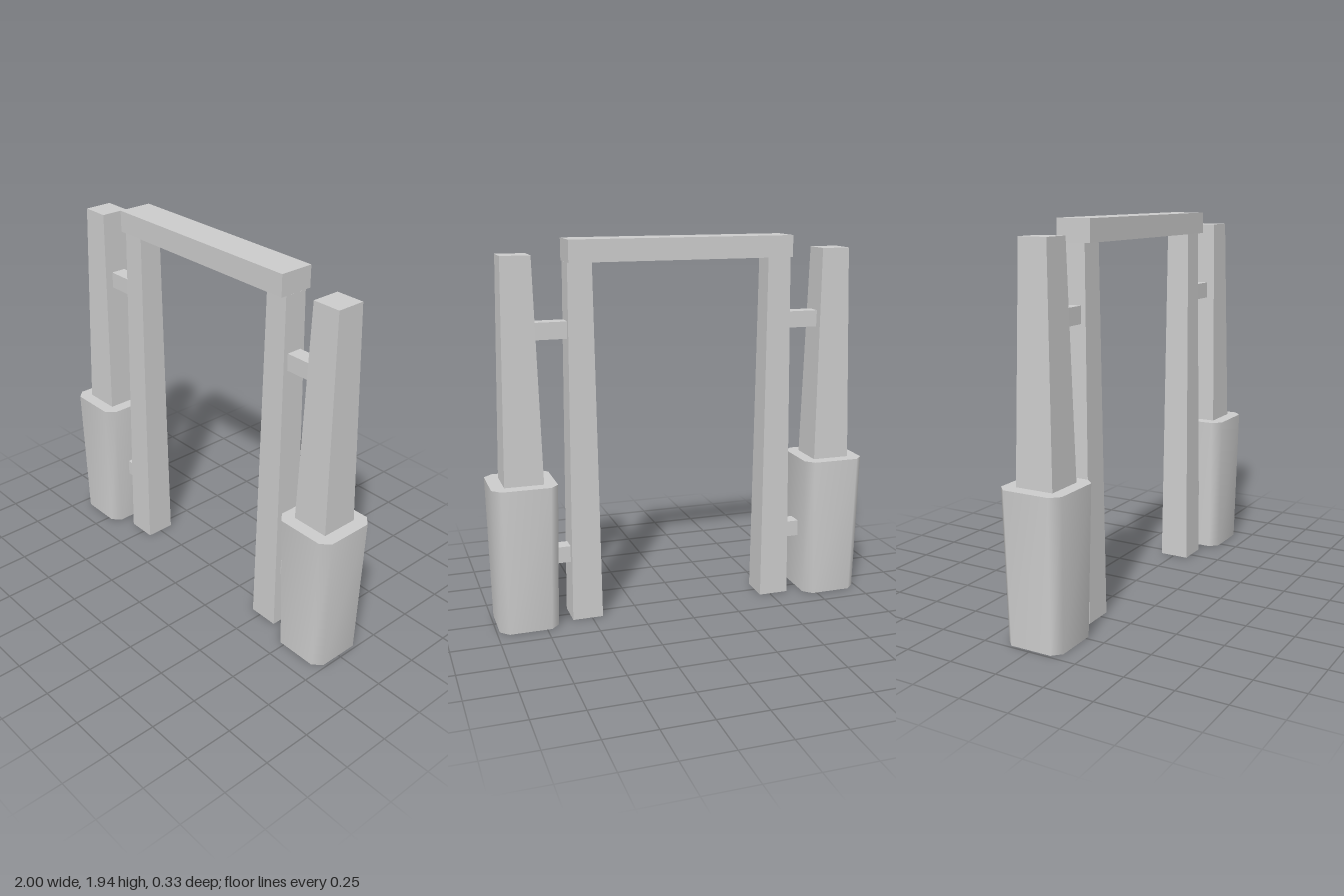
import * as THREE from 'three';

const material = new THREE.MeshStandardMaterial({ color: 0xcccccc });

function add(parent, name, geometry, x, y) {
  const mesh = new THREE.Mesh(geometry, material);
  mesh.name = name;
  mesh.position.set(x, y, 0);
  parent.add(mesh);
}

// Square post standing on y = 0, narrowing from half-width b to t
function taperedPost(b, t, height) {
  const geo = new THREE.BoxGeometry(2, height, 2).toNonIndexed();
  geo.translate(0, height / 2, 0);
  const p = geo.attributes.position;
  for (let i = 0; i < p.count; i++) {
    const s = p.getY(i) > height / 2 ? t : b;
    p.setX(i, p.getX(i) * s);
    p.setZ(i, p.getZ(i) * s);
  }
  geo.computeVertexNormals();
  return geo;
}

// Block with cut corners: smooth shaded walls, flat top and bottom
function cutCornerBlock(b, t, cut, height) {
  const ring = (h, y) => {
    const c = h - cut;
    return [[h, c], [c, h], [-c, h], [-h, c], [-h, -c], [-c, -h], [c, -h], [h, -c]]
      .flatMap(([x, z]) => [x, y, z]);
  };
  const low = ring(b, 0), high = ring(t, height);
  const index = [];
  for (let i = 0; i < 8; i++) {
    const j = (i + 1) % 8;
    index.push(i, i + 8, j, j, i + 8, j + 8);
  }
  // Caps have their own corners so their edges stay sharp
  for (let i = 1; i < 7; i++) {
    index.push(16, 16 + i, 17 + i, 24, 25 + i, 24 + i);
  }
  const geo = new THREE.BufferGeometry();
  geo.setAttribute('position', new THREE.Float32BufferAttribute([...low, ...high, ...low, ...high], 3));
  geo.setIndex(index);
  geo.computeVertexNormals();
  return geo;
}

export function createModel() {
  const model = new THREE.Group();
  model.name = 'gate';

  // Lintel across the inner posts
  add(model, 'lintel', new THREE.BoxGeometry(1.165, 0.11, 0.18), 0, 1.885);

  for (const [side, s] of [['left', 1], ['right', -1]]) {
    const half = new THREE.Group();
    half.name = side + 'Side';
    add(half, 'innerPost', taperedPost(0.079, 0.061, 1.83), s * 0.522, 0);
    add(half, 'outerPost', taperedPost(0.099, 0.074, 1.13), s * 0.833, 0.74);
    add(half, 'base', cutCornerBlock(0.151, 0.165, 0.043, 0.75), s * 0.834, 0);
    // Cross bars between the two posts
    add(half, 'upperBar', new THREE.BoxGeometry(0.2, 0.085, 0.08), s * 0.67, 1.503);
    add(half, 'lowerBar', new THREE.BoxGeometry(0.14, 0.085, 0.08), s * 0.64, 0.348);
    model.add(half);
  }
  return model;
}
